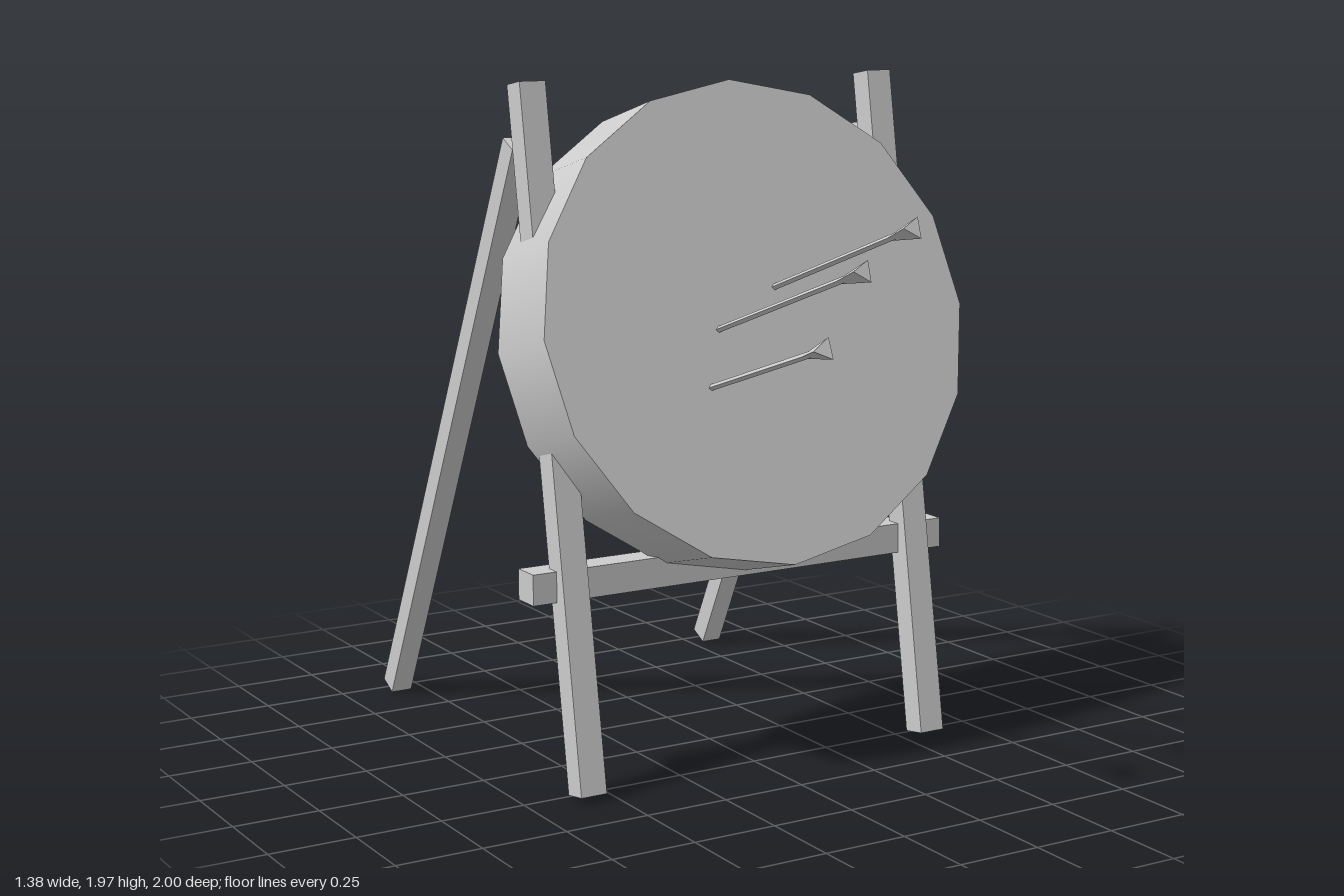
import * as THREE from 'three';

const UP = new THREE.Vector3(0, 1, 0);

// Group whose y axis runs from a to b, centred between them
function along(a, b) {
  const group = new THREE.Group();
  const dir = b.clone().sub(a);
  group.position.copy(a).add(b).multiplyScalar(0.5);
  group.quaternion.setFromUnitVectors(UP, dir.clone().normalize());
  return { group, length: dir.length() };
}

export function createModel() {
  const model = new THREE.Group();
  model.name = 'archeryTarget';
  const smooth = new THREE.MeshStandardMaterial({ color: 0xcccccc });
  smooth.name = 'pale grey';

  const addMesh = (parent, geometry, name) => {
    const mesh = new THREE.Mesh(geometry, smooth);
    mesh.name = name;
    parent.add(mesh);
    return mesh;
  };

  // Sixteen-sided target disc, leaning back
  const disc = addMesh(model, new THREE.CylinderGeometry(0.688, 0.688, 0.285, 16), 'targetDisc');
  disc.position.set(0, 1.264, 0.146);
  disc.rotation.x = Math.PI / 2 - 0.2618;

  // Straight square beam between two points
  const beam = (a, b, width, depth, name) => {
    const { group, length } = along(a, b);
    group.name = name;
    addMesh(group, new THREE.BoxGeometry(width, length, depth), name + 'Beam');
    model.add(group);
  };

  // Mirrored front and back legs of the easel
  for (const [side, label] of [[1, 'left'], [-1, 'right']]) {
    const x = side * 0.575;
    beam(new THREE.Vector3(x, 0.02, 0.297), new THREE.Vector3(x, 1.967, -0.022), 0.08, 0.076, label + 'FrontLeg');
    beam(new THREE.Vector3(x, 0.021, -0.967), new THREE.Vector3(x, 1.797, -0.074), 0.066, 0.066, label + 'BackLeg');
  }

  // Crossbar under the disc
  const bar = addMesh(model, new THREE.BoxGeometry(1.376, 0.088, 0.088), 'crossbar');
  bar.position.set(0, 0.596, 0.158);

  // Arrows stuck in the face: start point and tail point
  const arrows = [
    [[-0.192, 1.135, 0.325], [-0.261, 1.338, 0.992]],
    [[-0.144, 1.288, 0.284], [-0.115, 1.522, 0.95]],
    [[0.056, 1.39, 0.257], [0.061, 1.62, 0.92]],
  ];
  arrows.forEach(([start, end], i) => {
    const { group, length } = along(new THREE.Vector3(...start), new THREE.Vector3(...end));
    group.name = 'arrow' + (i + 1);
    const shaft = new THREE.CylinderGeometry(0.009, 0.009, length - 0.02, 4).toNonIndexed();
    shaft.computeVertexNormals();
    addMesh(group, shaft, 'arrowShaft').position.y = -0.01;
    // Three-sided flared tail
    const tail = new THREE.CylinderGeometry(0.034, 0.006, 0.125, 3, 1, false, -Math.PI / 2).toNonIndexed();
    tail.computeVertexNormals();
    addMesh(group, tail, 'arrowTail').position.y = length / 2 - 0.0625;
    model.add(group);
  });

  return model;
}
